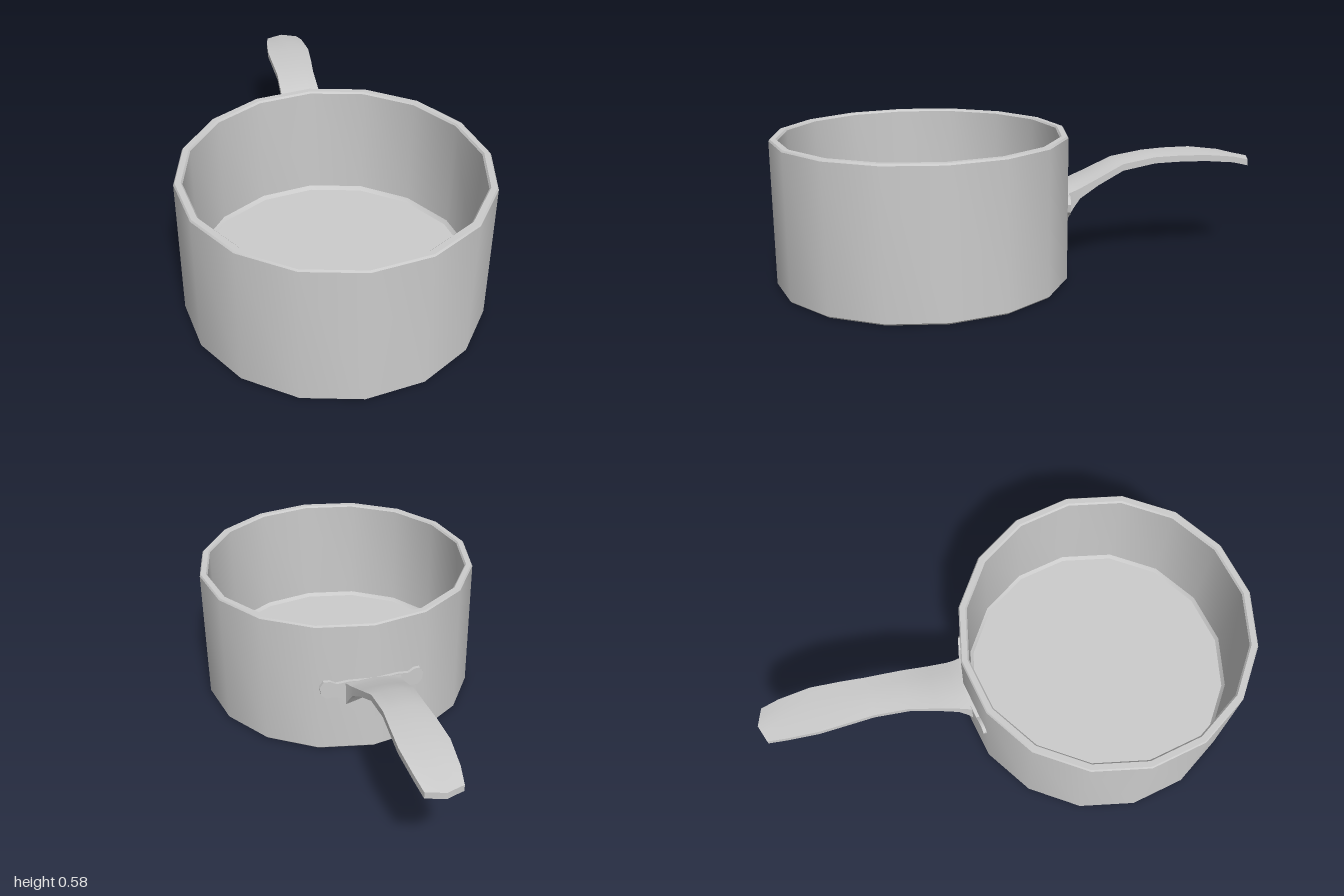
import * as THREE from 'three';
import { toCreasedNormals } from 'three/addons/utils/BufferGeometryUtils.js';

const SIDES = 16, RADIUS = 0.585, CENTRE_Z = 0.41, BACK_Z = CENTRE_Z - RADIUS;
const material = new THREE.MeshStandardMaterial({ color: 0xcccccc });

function part(name, geometry, crease) {
  const mesh = new THREE.Mesh(toCreasedNormals(geometry, crease), material);
  mesh.name = name;
  return mesh;
}

// Sixteen-sided pot: base, outer wall, bevelled rim, inner wall, floor
function makePot() {
  const profile = [
    [0, 0], [0.578, 0], [RADIUS, 0.007], [RADIUS, 0.578], [0.58, 0.585],
    [0.558, 0.585], [0.552, 0.578], [0.552, 0.12], [0.54, 0.105], [0, 0.105],
  ].map(([r, y]) => new THREE.Vector2(r, y));
  const geometry = new THREE.LatheGeometry(profile, SIDES);
  geometry.translate(0, 0, CENTRE_Z);
  return part('pot', geometry, 0.6);
}

// One half of the lobed mounting plate, laid against its wall facet
function makePlateHalf(side) {
  const outline = [
    [0, 0.34], [0.1, 0.335], [0.15, 0.325], [0.175, 0.337], [0.2, 0.335],
    [0.216, 0.308], [0.21, 0.275], [0.19, 0.257], [0.165, 0.263], [0.135, 0.258],
    [0.115, 0.225], [0.075, 0.19], [0.035, 0.167], [0, 0.16],
  ].map(([x, y]) => new THREE.Vector2(side * x, y));
  const geometry = new THREE.ExtrudeGeometry(new THREE.Shape(outline), { depth: 0.025, bevelEnabled: false });
  const p = geometry.attributes.position;
  const slope = Math.tan(Math.PI / SIDES);
  for (let i = 0; i < p.count; i++) {
    p.setZ(i, p.getZ(i) + BACK_Z - 0.014 + slope * Math.abs(p.getX(i)));
  }
  return part(side > 0 ? 'mountLeft' : 'mountRight', geometry, 0.6);
}

// Arched handle lofted through flat cross-sections
function makeHandle() {
  // z, half width, top y, bottom y, crown drop at the edges, tip bow
  const stations = [
    [-0.165, 0.115, 0.337, 0.235, 0.01, 0],
    [-0.19, 0.108, 0.345, 0.275, 0.012, 0],
    [-0.22, 0.102, 0.355, 0.312, 0.012, 0],
    [-0.3, 0.093, 0.388, 0.358, 0.01, 0],
    [-0.41, 0.083, 0.435, 0.407, 0.006, 0],
    [-0.55, 0.081, 0.454, 0.428, 0.004, 0],
    [-0.65, 0.088, 0.456, 0.43, 0.003, 0],
    [-0.77, 0.094, 0.454, 0.428, 0.003, 0],
    [-0.9, 0.083, 0.438, 0.413, 0.003, 0],
    [-0.975, 0.07, 0.418, 0.392, 0.002, 0.025],
  ];
  const across = [-1, -0.5, 0, 0.5, 1];
  const positions = [], index = [];
  for (const [z, w, top, bottom, crown, bow] of stations) {
    const point = (u, y) => positions.push(u * w, y - crown * u * u, z - bow * (1 - Math.abs(u)));
    across.forEach((u) => point(u, bottom));
    [...across].reverse().forEach((u) => point(u, top));
  }
  const n = across.length * 2, last = (stations.length - 1) * n;
  for (let i = 0; i < stations.length - 1; i++) {
    for (let j = 0; j < n; j++) {
      const a = i * n + j, b = i * n + (j + 1) % n;
      index.push(a, a + n, b + n, a, b + n, b);
    }
  }
  // End caps
  for (let j = 0; j < across.length - 1; j++) {
    const k = n - 1 - j;
    index.push(j, j + 1, k - 1, j, k - 1, k);
    index.push(last + j, last + k - 1, last + j + 1, last + j, last + k, last + k - 1);
  }
  const geometry = new THREE.BufferGeometry();
  geometry.setAttribute('position', new THREE.Float32BufferAttribute(positions, 3));
  geometry.setIndex(index);
  return part('handle', geometry, 0.7);
}

export function createModel() {
  const model = new THREE.Group();
  model.name = 'saucepan';
  model.add(makePot(), makePlateHalf(1), makePlateHalf(-1), makeHandle());
  return model;
}
